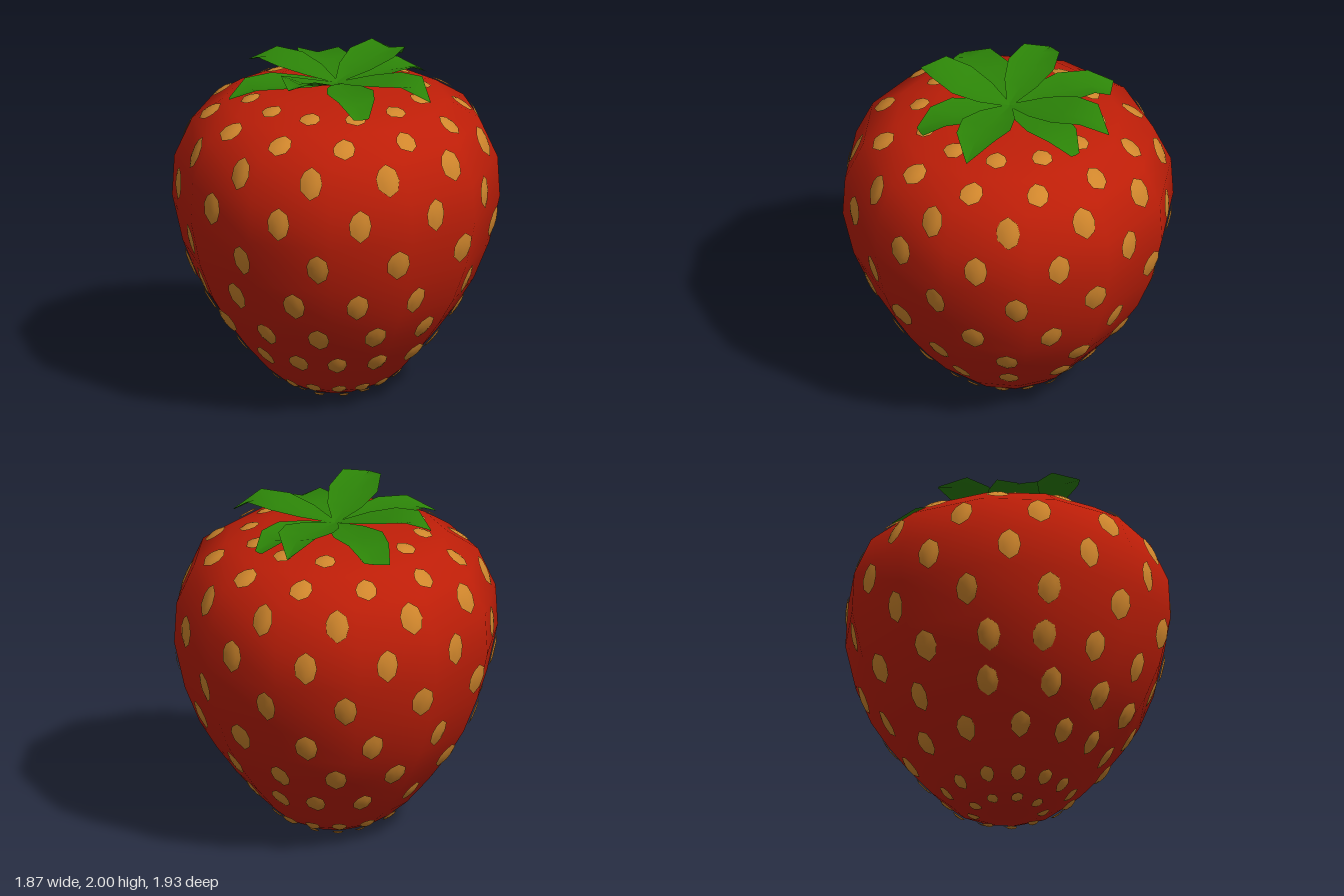
import * as THREE from 'three';

const SIDES = 12;
const X_SCALE = 0.972;
const RAD = Math.PI / 180;
// radius, height from the bottom tip to the crown
const PROFILE = [
  [0, 0.005], [0.2, 0.02], [0.33, 0.08], [0.45, 0.18], [0.59, 0.34], [0.71, 0.5], [0.81, 0.66],
  [0.9, 0.88], [0.963, 1.16], [0.95, 1.4], [0.845, 1.63], [0.66, 1.75], [0.42, 1.82], [0, 1.836],
];

// Point on the faceted body: phi from +z towards +x, s = distance along the profile, lifted outwards
function surfacePoint(phi, s, lift) {
  let i = 0, len = 0;
  for (; i < PROFILE.length - 1; i++) {
    len = Math.hypot(PROFILE[i + 1][0] - PROFILE[i][0], PROFILE[i + 1][1] - PROFILE[i][1]);
    if (s <= len || i === PROFILE.length - 2) break;
    s -= len;
  }
  const [r0, y0] = PROFILE[i], [r1, y1] = PROFILE[i + 1];
  const k = s / len, step = 2 * Math.PI / SIDES;
  const d = phi - (Math.floor(phi / step) + 0.5) * step;
  const facet = Math.cos(step / 2) / Math.cos(d);
  const r = (r0 + (r1 - r0) * k) * facet + lift * (y1 - y0) / len;
  const y = y0 + (y1 - y0) * k - lift * (r1 - r0) / len;
  return [r * Math.sin(phi) * X_SCALE, Math.max(y, 0), r * Math.cos(phi)];
}

// Profile distance and radius at a given height
function locate(y) {
  let s = 0, i = 0;
  for (; y > PROFILE[i + 1][1]; i++) {
    s += Math.hypot(PROFILE[i + 1][0] - PROFILE[i][0], PROFILE[i + 1][1] - PROFILE[i][1]);
  }
  const [r0, y0] = PROFILE[i], [r1, y1] = PROFILE[i + 1];
  const k = (y - y0) / (y1 - y0);
  return { s: s + Math.hypot(r1 - r0, y1 - y0) * k, r: r0 + (r1 - r0) * k };
}

function buildGeometry(positions, indices) {
  const g = new THREE.BufferGeometry();
  g.setAttribute('position', new THREE.Float32BufferAttribute(positions, 3));
  g.setIndex(indices);
  g.computeVertexNormals();
  return g;
}

// Rows of seeds wrapped onto the body: height, half width, half height, angles (uneven lower down)
const ring = (count, first) => Array.from({ length: count }, (_, i) => first + i * 360 / count);
const SEED_ROWS = [
  [0.025, 0.034, 0.04, ring(9, 5)],
  [0.112, 0.044, 0.054, [-13, 11, 35, 57, 79, 107, 131, 155, 180, 205, 232, 261, 291, 320]],
  [0.325, 0.058, 0.083, [-14.5, 9.7, 33, 57, 84.5, 113, 144, 167, 190, 218, 253, 285, 318]],
  [0.53, 0.065, 0.092, [-2, 24, 51, 78.5, 112, 147, 175, 202, 231, 265, 301, 331]],
  [0.765, 0.068, 0.096, [-12, 15, 41, 66, 98.6, 130, 160, 190, 217, 248, 276, 303, 325]],
  [1.03, 0.068, 0.097, ring(12, -4.5)],
  [1.29, 0.069, 0.099, ring(12, 11)],
  [1.53, 0.07, 0.098, ring(12, -7.5)],
  [1.69, 0.067, 0.078, ring(12, 6)],
  [1.788, 0.063, 0.064, ring(12, 15)],
];
const SEED_OUTLINE = [[0, 1], [-0.68, 0.68], [-1, 0.2], [-0.9, -0.45], [0, -1], [0.75, -0.64], [1, 0], [0.8, 0.62]];

function seedGeometry() {
  const pos = [], idx = [], n = SEED_OUTLINE.length;
  for (const [y, w, h, angles] of SEED_ROWS) {
    const { s, r } = locate(y);
    for (const angle of angles) {
      const phi = angle * RAD, base = pos.length / 3;
      pos.push(...surfacePoint(phi, s, 0.02));
      for (const [scale, lift] of [[0.55, 0.018], [1, 0.009]]) {
        for (const [u, v] of SEED_OUTLINE) {
          pos.push(...surfacePoint(phi + u * scale * w / r, s + v * scale * h, lift));
        }
      }
      for (let i = 0; i < n; i++) {
        const a = base + 1 + i, b = base + 1 + (i + 1) % n;
        idx.push(base, a, b, a, a + n, b + n, a, b + n, b);
      }
    }
  }
  return buildGeometry(pos, idx);
}

// Folded leaf: a valley along the middle, raised edges, drooping or lifted tip
function leafGeometry({ angle, length, width, lift, tip = 0.004, skew = 0 }) {
  const dx = Math.sin(angle * RAD), dz = Math.cos(angle * RAD);
  const rows = [
    [0, 0.015, 0, 0], [0.28, 0.72 * width, lift[0], 0.02], [0.54, width, lift[1], 0.03],
    [0.8, 0.78 * width, lift[2], 0.03], [1, tip, lift[3], 0.005],
  ];
  const pos = [], idx = [];
  rows.forEach(([t, half, y, edge], i) => {
    for (const side of [-1, 0, 1]) {
      const d = t * (length + skew * side * t), w = half * side;
      pos.push(dx * d + dz * w, 1.845 + y + edge * Math.abs(side), -0.01 + dz * d - dx * w);
    }
    if (i === 0) return;
    for (const c of [0, 1]) {
      const a = (i - 1) * 3 + c, b = a + 3;
      idx.push(a, b, a + 1, a + 1, b, b + 1);
    }
  });
  return buildGeometry(pos, idx);
}

const RAISED = [0.03, 0.07, 0.125, 0.115];
const ARCHED = [0.025, 0.05, 0.065, -0.01];
const LOW = [0.005, 0.015, 0.01, -0.04];
const LEAVES = [
  { angle: 1, length: 0.55, width: 0.148, lift: RAISED },
  { angle: 90, length: 0.63, width: 0.15, lift: ARCHED },
  { angle: 176, length: 0.64, width: 0.152, lift: ARCHED },
  { angle: -90, length: 0.59, width: 0.142, lift: [0.03, 0.055, 0.07, 0.03] },
  { angle: 46, length: 0.56, width: 0.138, lift: LOW, tip: 0.045 },
  { angle: 153, length: 0.59, width: 0.135, lift: LOW, tip: 0.03 },
  { angle: -136, length: 0.63, width: 0.148, lift: LOW, tip: 0.065, skew: 0.035 },
  { angle: -42, length: 0.645, width: 0.15, lift: LOW, tip: 0.012 },
];

export function createModel() {
  const red = new THREE.MeshStandardMaterial({ color: 0xbe1e08 });
  red.name = 'berryRed';
  const gold = new THREE.MeshStandardMaterial({ color: 0xd0862c });
  gold.name = 'seedGold';
  const green = new THREE.MeshStandardMaterial({ color: 0x2c8408, side: THREE.DoubleSide });
  green.name = 'leafGreen';

  const model = new THREE.Group();
  model.name = 'strawberry';

  // Fruit
  const body = new THREE.Mesh(
    new THREE.LatheGeometry(PROFILE.map(([r, y]) => new THREE.Vector2(r, y)), SIDES), red);
  body.name = 'fruitBody';
  body.scale.x = X_SCALE;
  model.add(body);

  // Seeds
  const seeds = new THREE.Mesh(seedGeometry(), gold);
  seeds.name = 'seeds';
  model.add(seeds);

  // Leaf crown
  const crown = new THREE.Group();
  crown.name = 'leafCrown';
  LEAVES.forEach((leaf, i) => {
    const mesh = new THREE.Mesh(leafGeometry(leaf), green);
    mesh.name = 'leaf' + (i + 1);
    crown.add(mesh);
  });
  model.add(crown);
  return model;
}
